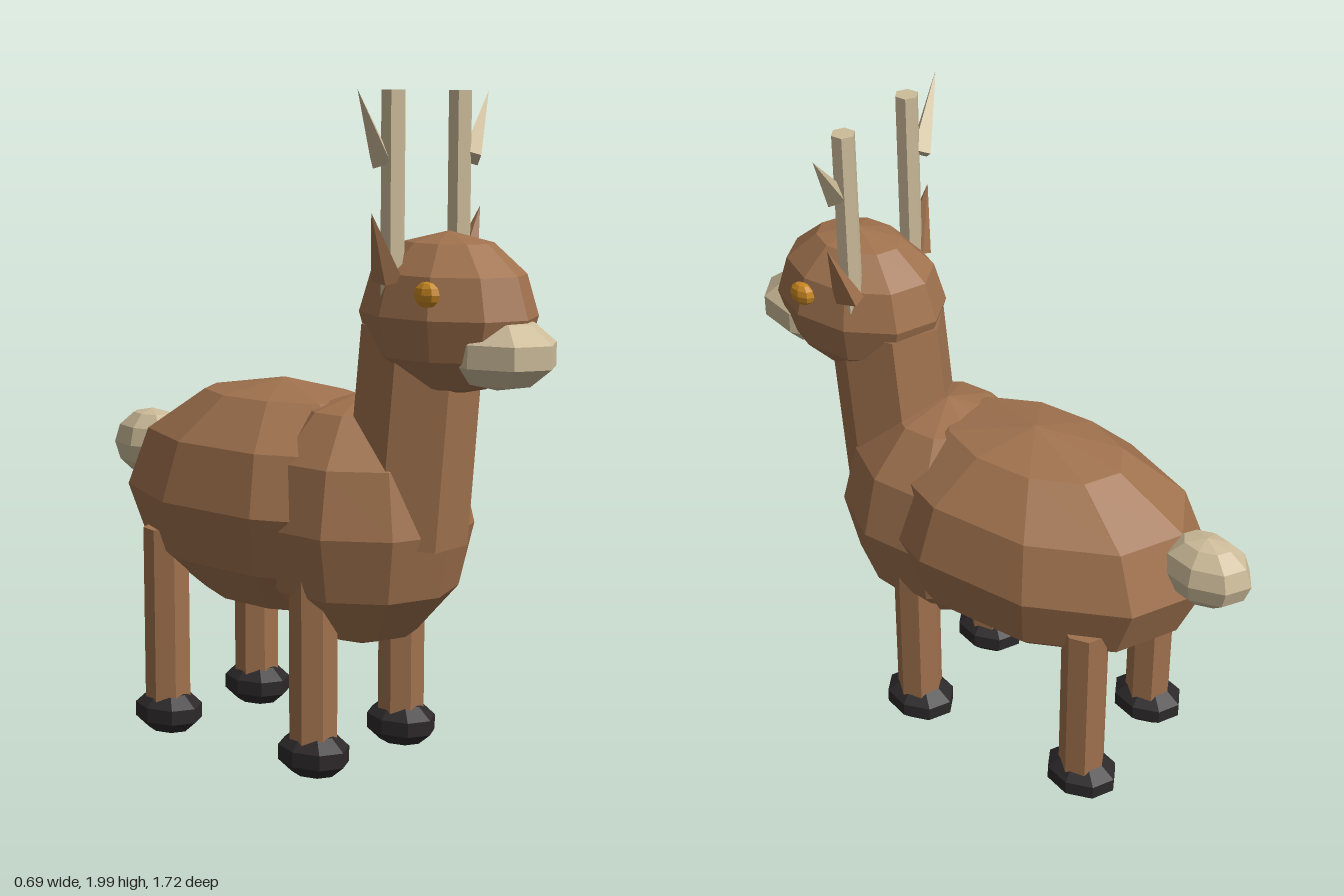
import * as THREE from 'three';

export function createModel() {
  const model = new THREE.Group();
  const mat = (name, color) => {
    const m = new THREE.MeshStandardMaterial({ color, flatShading: true });
    m.name = name;
    return m;
  };
  const brown = mat('brown coat', 0xa0724e);
  const cream = mat('cream', 0xcdbc9a);
  const black = mat('hoof black', 0x2d292b);
  const amber = mat('eye amber', 0xc98822);

  const add = (name, geo, material, pos) => {
    const mesh = new THREE.Mesh(geo, material);
    mesh.name = name;
    mesh.position.set(...pos);
    model.add(mesh);
    return mesh;
  };

  // Low-poly ellipsoid with a vertex column facing front
  const ball = (name, material, pos, radii, seg = 10, rings = 6) => {
    const geo = new THREE.SphereGeometry(1, seg, rings);
    geo.rotateY(Math.PI / 2);
    geo.scale(...radii);
    return add(name, geo, material, pos);
  };

  // Tapered prism running between two points
  const rod = (name, material, from, to, rTop, rBottom, sides, spin = 0, sx = 1, sz = 1) => {
    const a = new THREE.Vector3(...from), b = new THREE.Vector3(...to);
    const dir = b.clone().sub(a);
    const geo = new THREE.CylinderGeometry(rTop, rBottom, dir.length(), sides);
    geo.rotateY(spin);
    geo.scale(sx, 1, sz);
    const mesh = add(name, geo, material, a.add(b).multiplyScalar(0.5).toArray());
    mesh.quaternion.setFromUnitVectors(new THREE.Vector3(0, 1, 0), dir.normalize());
    return mesh;
  };

  // Torso, neck and head
  ball('body', brown, [0, 0.777, -0.125], [0.361, 0.361, 0.585]);
  ball('chest', brown, [0, 0.744, 0.187], [0.316, 0.38, 0.338]);
  rod('neck', brown, [0, 0.72, 0.35], [0, 1.33, 0.408], 0.165, 0.17, 7, Math.PI, 1, 1.13);
  ball('head', brown, [0, 1.375, 0.5], [0.209, 0.231, 0.275]);
  ball('snout', cream, [0, 1.28, 0.675], [0.143, 0.105, 0.19], 8, 5);
  ball('tail', cream, [0, 0.867, -0.71], [0.1, 0.113, 0.15], 8, 6);

  for (const s of [1, -1]) {
    const side = s > 0 ? 'left' : 'right';

    // Face and ears
    ball(side + 'Eye', amber, [s * 0.185, 1.445, 0.573], [0.024, 0.036, 0.044], 8, 6);
    rod(side + 'Ear', brown, [s * 0.165, 1.475, 0.42], [s * 0.241, 1.662, 0.423], 0, 0.055, 5, 0, 0.65, 1);

    // Antlers, with the side points swept in opposite directions
    rod(side + 'Antler', cream, [s * 0.147, 1.42, 0.42], [s * 0.147, 1.99, 0.42], 0.035, 0.035, 6);
    rod(side + 'AntlerPoint', cream, [s * 0.172, 1.8, 0.418 + s * 0.022],
      [s * 0.327, 1.99, 0.415 - s * 0.032], 0, 0.036, 4);

    // Legs and hooves
    for (const [end, z] of [['Front', 0.175], ['Hind', -0.44]]) {
      rod(side + end + 'Leg', brown, [s * 0.2, 0.08, z], [s * 0.2, 0.66, z], 0.072, 0.072, 7, Math.PI);
      ball(side + end + 'Hoof', black, [s * 0.2, 0.073, z], [0.097, 0.073, 0.122], 8, 5);
    }
  }
  return model;
}
